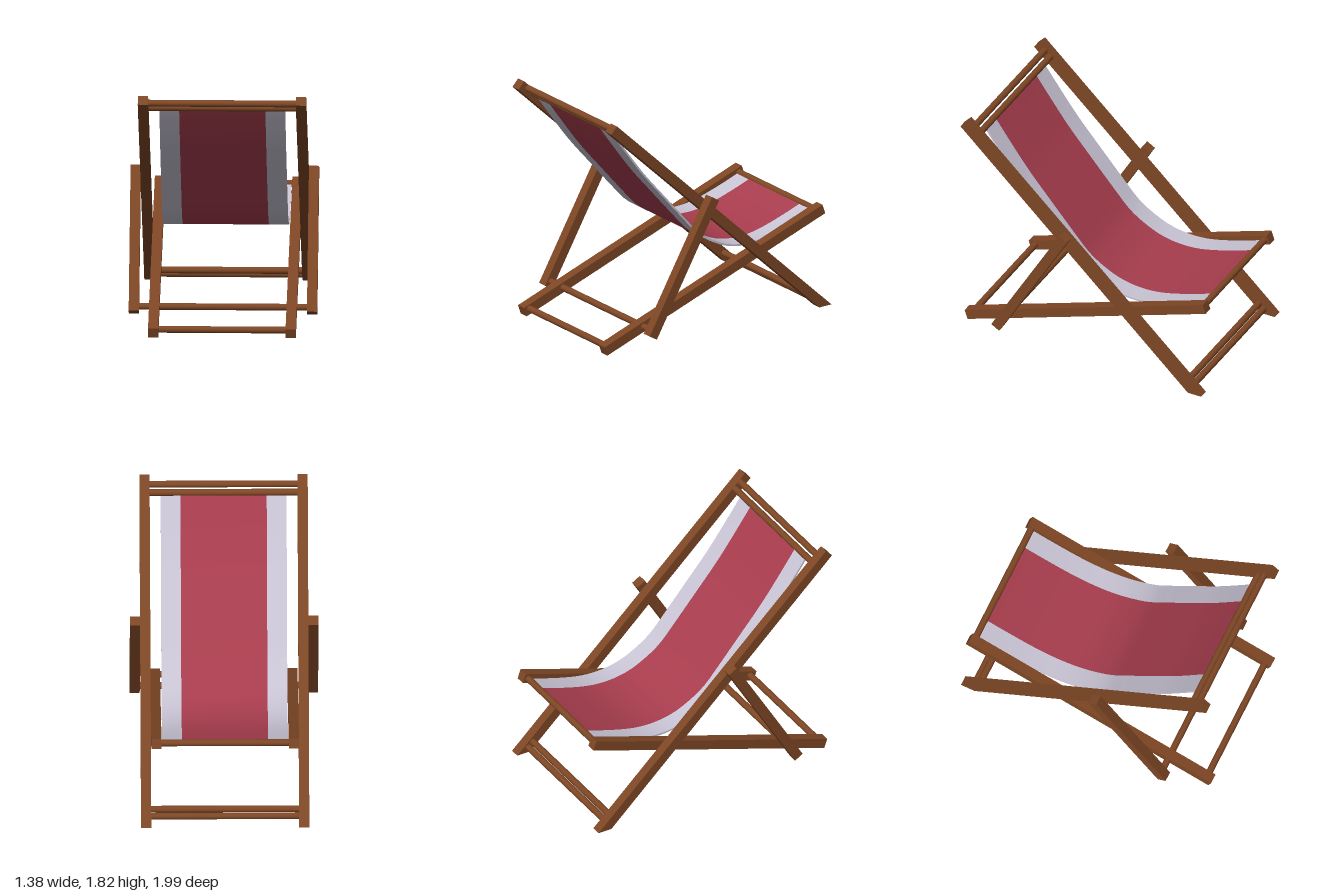
import * as THREE from 'three';
import { toCreasedNormals } from 'three/addons/utils/BufferGeometryUtils.js';

const wood = new THREE.MeshStandardMaterial({ color: 0x7e4725 });
const red = new THREE.MeshStandardMaterial({ color: 0xa83d4e });
const grey = new THREE.MeshStandardMaterial({ color: 0xc9c4d4 });
wood.name = 'wood';
red.name = 'red canvas';
grey.name = 'grey canvas';

const T = 0.075; // square section of every beam
const RAIL_R = 0.025;

// Extrude a side outline, given as [z, y] points, from x0 to x1
function sidePrism(points, x0, x1) {
  const shape = new THREE.Shape(points.map(([z, y]) => new THREE.Vector2(z, y)));
  const geo = new THREE.ExtrudeGeometry(shape, { depth: x1 - x0, bevelEnabled: false });
  geo.rotateY(-Math.PI / 2);
  geo.translate(x1, 0, 0);
  return geo;
}

// Outline of a straight beam from a to b; flatFoot cuts the end b level
function beamOutline([az, ay], [bz, by], flatFoot) {
  const len = Math.hypot(bz - az, by - ay);
  const dz = (bz - az) / len, dy = (by - ay) / len;
  const nz = -dy * T / 2, ny = dz * T / 2;
  const k = flatFoot ? ny / dy : 0;
  return [
    [az + nz, ay + ny],
    [bz + nz - dz * k, by + ny - dy * k],
    [bz - nz + dz * k, by - ny + dy * k],
    [az - nz, ay - ny],
  ];
}

export function createModel() {
  const group = new THREE.Group();
  const add = (name, geo, mat) => {
    const mesh = new THREE.Mesh(geo, mat);
    mesh.name = name;
    group.add(mesh);
  };

  // Mirrored beams: back frame outside the seat frame, props outermost
  const beams = [
    ['backFrameBeam', beamOutline([0.967, 1.79], [-0.94, 0], true), 0.54],
    ['seatFrameBeam', beamOutline([0.985, 0.047], [-0.98, 0.725]), 0.465],
    ['propBeam', beamOutline([0.105, 1.088], [0.667, 0.126]), 0.614],
  ];
  for (const [name, outline, x] of beams) {
    add(name + 'Left', sidePrism(outline, x, x + T), wood);
    add(name + 'Right', sidePrism(outline, -x - T, -x), wood);
  }

  // Round cross rails: name, z, y, half length
  const rails = [
    ['topRail', 0.907, 1.755, 0.55],
    ['canvasTopRail', 0.862, 1.712, 0.55],
    ['footRail', -0.9, 0.042, 0.55],
    ['upperFootRail', -0.862, 0.078, 0.55],
    ['propRail', 0.645, 0.165, 0.62],
    ['seatFrontRail', -0.945, 0.712, 0.47],
    ['seatFrameRail', 0.945, 0.065, 0.47],
  ];
  for (const [name, z, y, half] of rails) {
    const geo = new THREE.CylinderGeometry(RAIL_R, RAIL_R, half * 2, 16);
    geo.rotateZ(Math.PI / 2);
    geo.translate(0, y, z);
    add(name, geo, wood);
  }

  // Sagging canvas: a thin sheet following a curve, in three stripes
  const curve = new THREE.SplineCurve([
    [0.87, 1.7], [0.8, 1.6], [0.6, 1.33], [0.4, 1.095], [0.2, 0.865], [0.1, 0.755], [0, 0.68],
    [-0.15, 0.605], [-0.3, 0.572], [-0.45, 0.572], [-0.6, 0.6], [-0.8, 0.66], [-0.94, 0.71],
  ].map(([z, y]) => new THREE.Vector2(z, y)));
  const upper = [], lower = [];
  const N = 40, half = 0.007;
  for (let i = 0; i <= N; i++) {
    const p = curve.getPointAt(i / N), t = curve.getTangentAt(i / N);
    upper.push([p.x + t.y * half, p.y - t.x * half]);
    lower.unshift([p.x - t.y * half, p.y + t.x * half]);
  }
  const sheet = upper.concat(lower);
  const stripes = [
    ['canvasRightStripe', -0.46, -0.315, grey],
    ['canvasCentre', -0.315, 0.315, red],
    ['canvasLeftStripe', 0.315, 0.46, grey],
  ];
  for (const [name, x0, x1, mat] of stripes) {
    add(name, toCreasedNormals(sidePrism(sheet, x0, x1), 0.6), mat);
  }
  return group;
}
